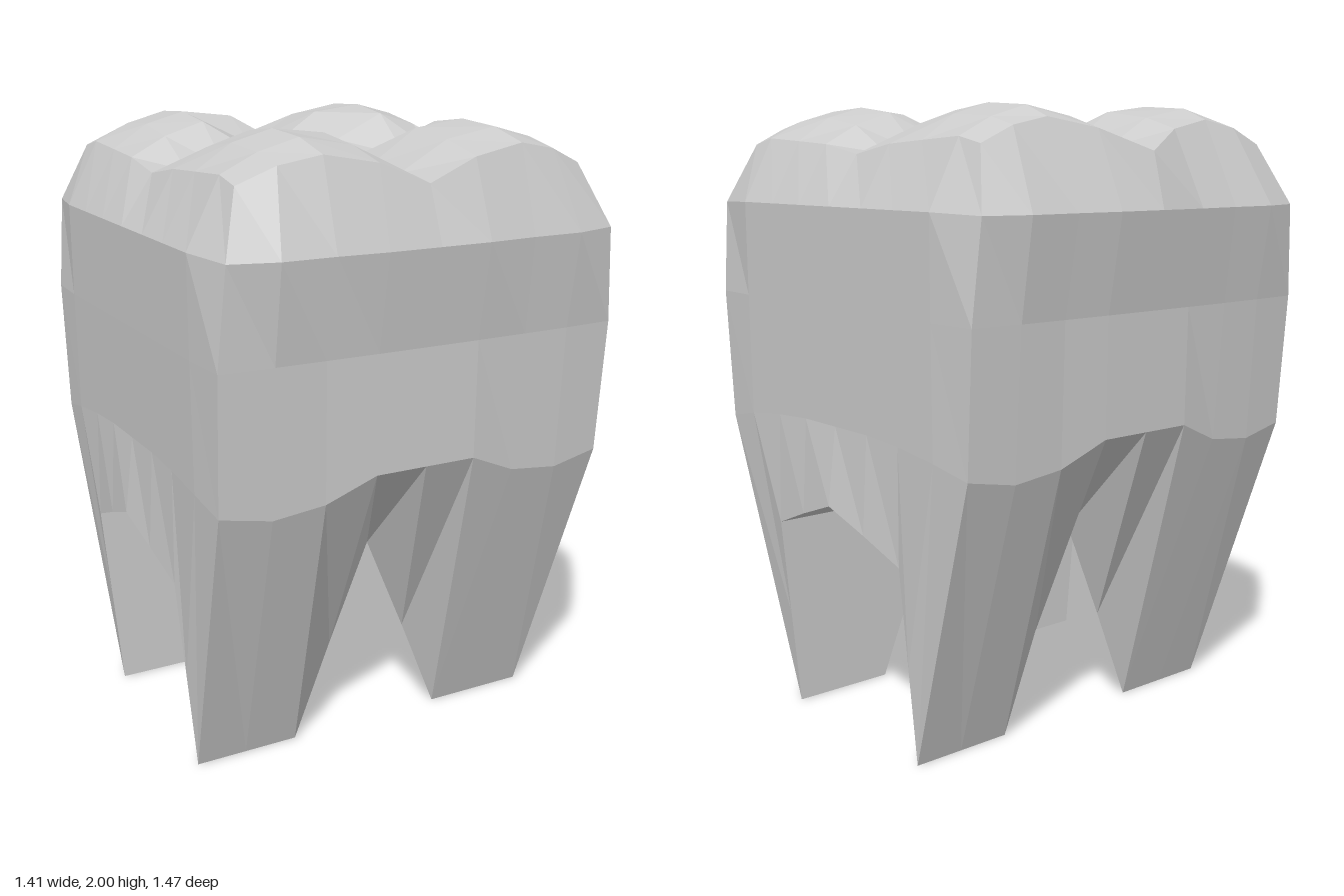
import * as THREE from 'three';

// One quarter of the tooth (+x, +z) is described and mirrored into all four.

// Chewing surface: heights on a grid, rows run from the middle (z = 0) to the rim
const TOP_X = [0, 0.16, 0.33, 0.46, 0.575];
const TOP_Z = [0, 0.17, 0.33, 0.5, 0.6];
const TOP_Y = [
  [1.86, 1.855, 1.85, 1.85, 1.85],
  [1.87, 1.9, 1.98, 1.94, 1.88],
  [1.875, 1.98, 2.0, 1.965, 1.89],
  [1.87, 1.96, 1.99, 1.955, 1.9],
  [1.86, 1.925, 1.955, 1.93, 1.88],
];
const RIM_Z = { front: [0.665, 0.655, 0.64, 0.62, 0.595], back: [0.69, 0.62, 0.59, 0.595, 0.595] };

function topPoint(i, j, sz) {
  const z = j === 4 ? RIM_Z[sz > 0 ? 'front' : 'back'][i] : TOP_Z[j];
  return [TOP_X[i], TOP_Y[j][i], z];
}

// Wall rings: five columns across the face to the corner, then four along the side
const SIDE_Z = [0.5, 0.33, 0.17, 0];
function ring(xs, ys, zs, sideX, sideY) {
  return [
    ...xs.map((x, i) => [x, ys[i], zs[i]]),
    ...SIDE_Z.map((z, i) => [sideX, sideY[i], z]),
  ];
}
const same = (v, n) => Array(n).fill(v);

const BULGE = ring([0, 0.17, 0.33, 0.5, 0.645], same(1.69, 5), [0.735, 0.735, 0.725, 0.725, 0.685], 0.68, same(1.695, 4));
const WAIST = ring([0, 0.17, 0.34, 0.5, 0.67], same(1.39, 5), [0.685, 0.685, 0.683, 0.68, 0.672], 0.679, same(1.39, 4));
const NECK = ring([0, 0.17, 0.33, 0.5, 0.665], [1.02, 1.02, 0.95, 0.93, 0.96], [0.68, 0.68, 0.66, 0.655, 0.645], 0.675, [0.99, 1.01, 1.02, 1.02]);

// Lower edge: up the gap between roots, along the tip, then up to the side arch
const ROOT_Z = 0.335;
const EDGE = [
  [0, 0.65, ROOT_Z], [0.14, 0.32, ROOT_Z], [0.27, 0, ROOT_Z], [0.45, 0, ROOT_Z], [0.62, 0, ROOT_Z],
  [0.65, 0.32, ROOT_Z], [0.68, 0.645, ROOT_Z], [0.693, 0.71, 0.17], [0.705, 0.77, 0],
];

function rimRing(sz) {
  const points = [];
  for (let i = 0; i <= 4; i++) points.push(topPoint(i, 4, sz));
  for (let j = 3; j >= 0; j--) points.push(topPoint(4, j, sz));
  return points;
}

// Collects polygons for every mirrored quarter into one flat-shaded mesh
function mirroredMesh(name, fill) {
  const positions = [];
  for (const sx of [1, -1]) {
    for (const sz of [1, -1]) {
      const add = (...corners) => {
        if (sx * sz < 0) corners.reverse();
        for (let k = 1; k < corners.length - 1; k++) {
          for (const [x, y, z] of [corners[0], corners[k], corners[k + 1]]) {
            positions.push(x * sx, y, z * sz);
          }
        }
      };
      fill(add, sz);
    }
  }
  const geometry = new THREE.BufferGeometry();
  geometry.setAttribute('position', new THREE.Float32BufferAttribute(positions, 3));
  geometry.computeVertexNormals();
  const material = new THREE.MeshStandardMaterial({ color: 0xcccccc, flatShading: true });
  const mesh = new THREE.Mesh(geometry, material);
  mesh.name = name;
  return mesh;
}

function addBand(add, upper, lower) {
  for (let c = 0; c < upper.length - 1; c++) {
    add(upper[c], lower[c], lower[c + 1], upper[c + 1]);
  }
}

export function createModel() {
  const tooth = new THREE.Group();
  tooth.name = 'tooth';

  // Four cusps with crossing grooves
  tooth.add(mirroredMesh('chewingSurface', (add, sz) => {
    for (let i = 0; i < 4; i++) {
      for (let j = 0; j < 4; j++) {
        add(topPoint(i, j, sz), topPoint(i, j + 1, sz), topPoint(i + 1, j + 1, sz), topPoint(i + 1, j, sz));
      }
    }
  }));

  // Crown sides from the rim down to the neck
  tooth.add(mirroredMesh('crownWall', (add, sz) => {
    const rings = [rimRing(sz), BULGE, WAIST, NECK];
    for (let r = 0; r < rings.length - 1; r++) addBand(add, rings[r], rings[r + 1]);
  }));

  // Tapering roots: outer faces and the flat inner faces
  tooth.add(mirroredMesh('roots', (add) => {
    addBand(add, NECK, EDGE);
    const hub = [0.33, 0.645, ROOT_Z];
    for (let c = 0; c < 6; c++) add(hub, EDGE[c + 1], EDGE[c]);
  }));

  // Arched underside between the roots
  tooth.add(mirroredMesh('underside', (add) => {
    const low = [EDGE[0], [0.33, 0.645, ROOT_Z], EDGE[6]];
    const high = [[0, 0.96, 0], [0.35, 0.88, 0], EDGE[8]];
    for (let i = 0; i < 2; i++) add(high[i], high[i + 1], low[i + 1], low[i]);
  }));

  return tooth;
}
